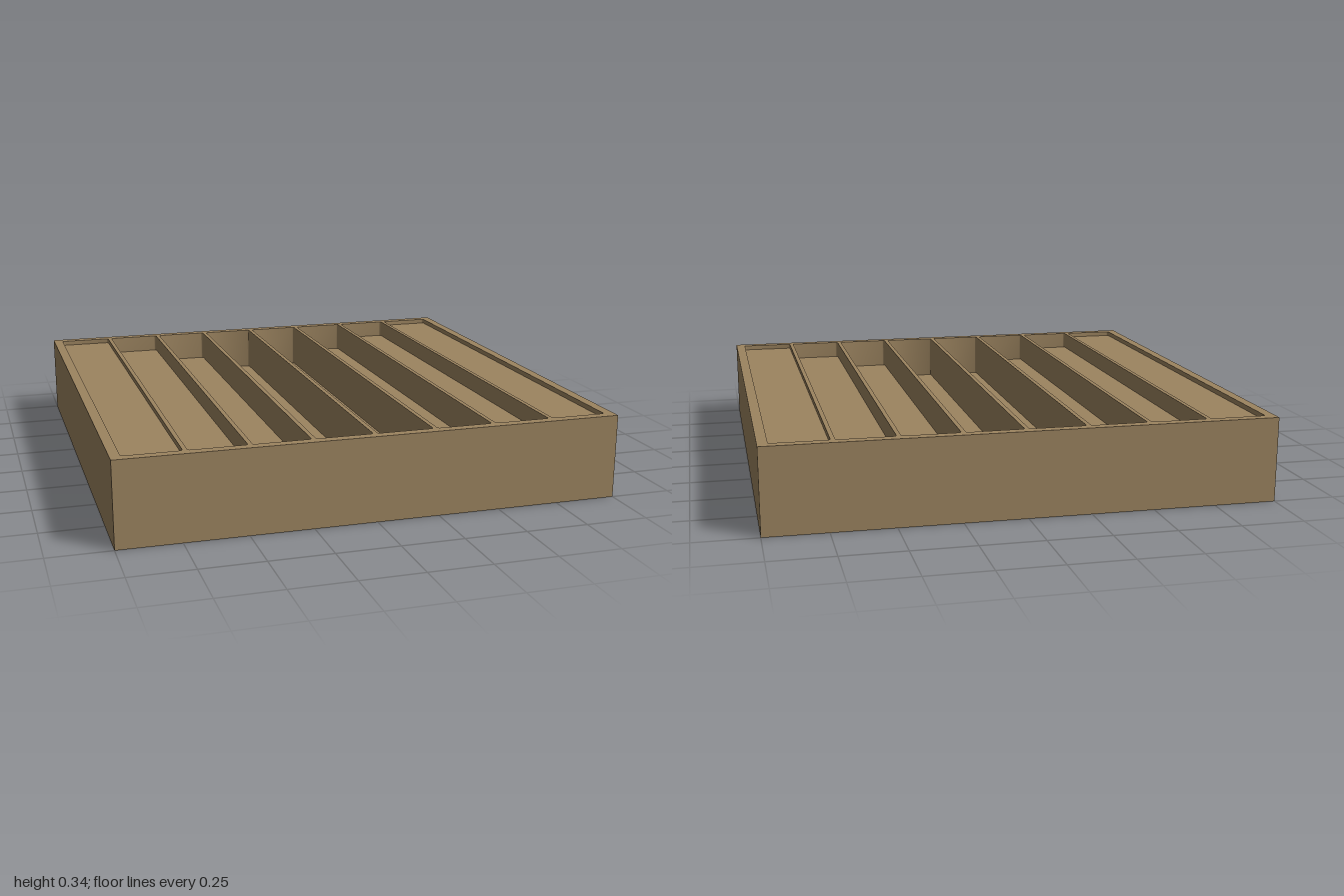
import * as THREE from 'three';
import { toCreasedNormals } from 'three/addons/utils/BufferGeometryUtils.js';

const HEIGHT = 0.34;
const INNER = 0.96;                            // half extent of the slotted area
const SLOT_W = 0.2246, PITCH = 0.2422, CORNER = 0.01;
const DEPTHS = [0.02, 0.073, 0.128, 0.19];     // outermost slot to middle slot

// Rounded rectangle outline, anticlockwise seen from above
function slotOutline(cx) {
  const pts = [];
  const hx = SLOT_W / 2 - CORNER, hy = INNER - CORNER, steps = 4;
  [[1, 1], [-1, 1], [-1, -1], [1, -1]].forEach(([sx, sy], q) => {
    for (let i = 0; i <= steps; i++) {
      const a = (q + i / steps) * Math.PI / 2;
      pts.push(new THREE.Vector2(
        cx + sx * hx + CORNER * Math.cos(a),
        sy * hy + CORNER * Math.sin(a)));
    }
  });
  return pts;
}

// Inward facing wall between the rim and the slot floor
function wallGeometry(pts, floorY) {
  const pos = [];
  pts.forEach((a, i) => {
    const b = pts[(i + 1) % pts.length];
    pos.push(b.x, floorY, -b.y, a.x, floorY, -a.y, a.x, HEIGHT, -a.y);
    pos.push(b.x, floorY, -b.y, a.x, HEIGHT, -a.y, b.x, HEIGHT, -b.y);
  });
  const g = new THREE.BufferGeometry();
  g.setAttribute('position', new THREE.Float32BufferAttribute(pos, 3));
  return toCreasedNormals(g, 0.6);
}

// Flat upward facing plate from a shape
function plate(shape, y) {
  return new THREE.ShapeGeometry(shape).rotateX(-Math.PI / 2).translate(0, y, 0);
}

export function createModel() {
  const model = new THREE.Group();
  model.name = 'slottedTray';
  const wood = new THREE.MeshStandardMaterial({ color: 0x9c8460 });
  wood.name = 'tan wood';

  const add = (name, geometry, parent = model) => {
    const mesh = new THREE.Mesh(geometry, wood);
    mesh.name = name;
    parent.add(mesh);
  };

  // Outer sides and underside: a box with its top face left out
  const box = new THREE.BoxGeometry(2, HEIGHT, 2).translate(0, HEIGHT / 2, 0);
  const index = Array.from(box.index.array);
  index.splice(12, 6);
  box.setIndex(index);
  box.clearGroups();
  add('outerSides', box);

  // Rim and dividers: the top face pierced by eight slots
  const rim = new THREE.Shape([
    new THREE.Vector2(-1, -1), new THREE.Vector2(1, -1),
    new THREE.Vector2(1, 1), new THREE.Vector2(-1, 1)]);

  // Slots step deeper towards the middle
  for (let i = 0; i < 8; i++) {
    const outline = slotOutline((i - 3.5) * PITCH);
    const floorY = HEIGHT - DEPTHS[Math.min(i, 7 - i)];
    rim.holes.push(new THREE.Path(outline));
    const slot = new THREE.Group();
    slot.name = `slot${i + 1}`;
    model.add(slot);
    add('slotWalls', wallGeometry(outline, floorY), slot);
    add('slotFloor', plate(new THREE.Shape(outline), floorY), slot);
  }
  add('rimAndDividers', plate(rim, HEIGHT));

  return model;
}
